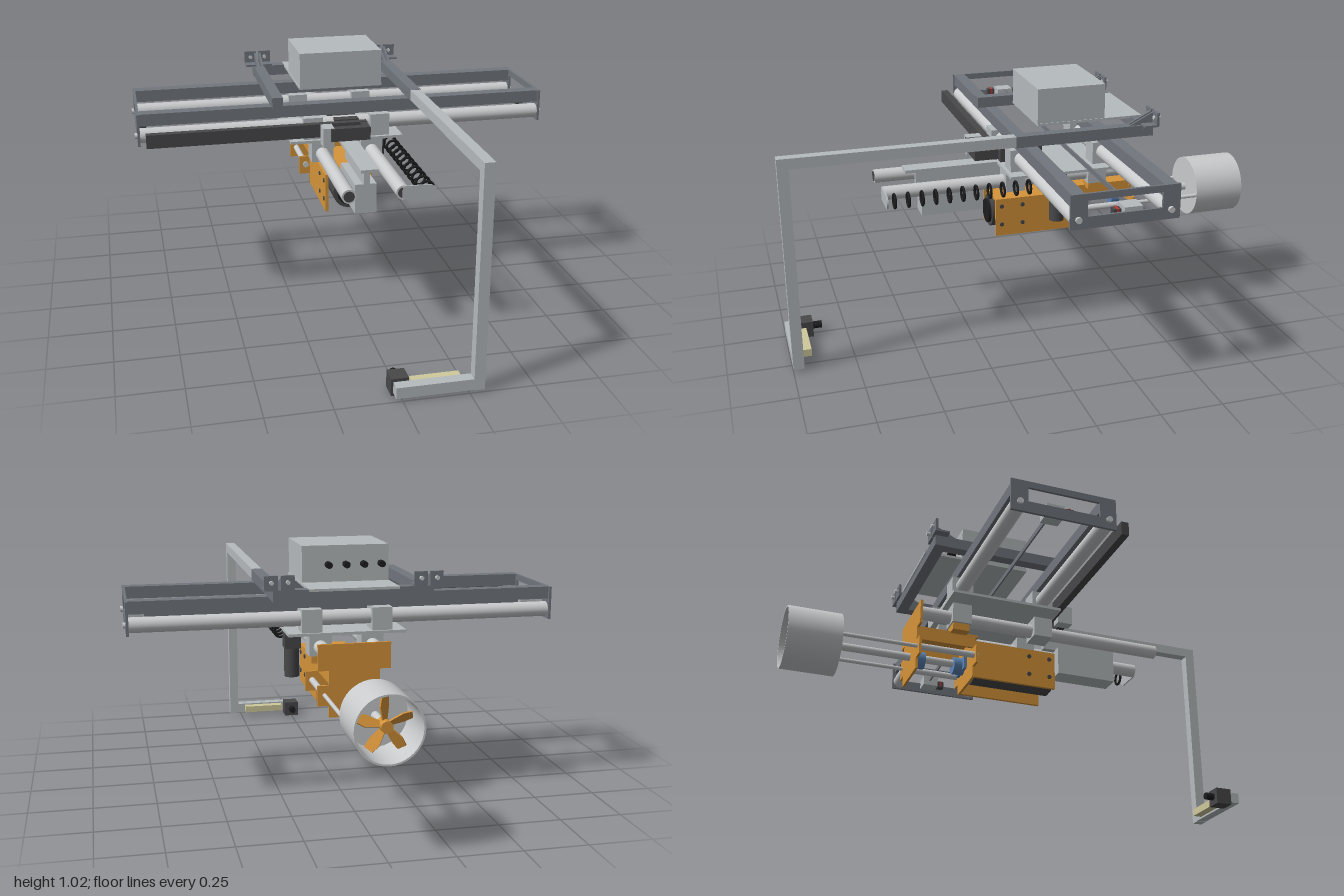
import * as THREE from 'three';

const mat = (name, color, opts = {}) => Object.assign(new THREE.MeshStandardMaterial({ color, ...opts }), { name });

export function createModel() {
  const model = new THREE.Group();
  const panel = mat('light grey panel', 0xb6bbbd);
  const steel = mat('pale steel', 0xc9cbcd, { side: THREE.DoubleSide });
  const rail = mat('slate grey rail', 0x72777e);
  const dark = mat('charcoal', 0x48484a);
  const black = mat('black rubber', 0x1d1d1f);
  const orange = mat('orange bracket', 0xd6943a);
  const blue = mat('blue bearing', 0x5d86b8);
  const cream = mat('cream strip', 0xcfc99c);
  const red = mat('red switch', 0xb83a34);

  const add = (name, geo, m, x = 0, y = 0, z = 0) => {
    const mesh = new THREE.Mesh(geo, m);
    mesh.name = name;
    mesh.position.set(x, y, z);
    model.add(mesh);
    return mesh;
  };
  // box from its minimum and maximum on each axis
  const box = (name, m, x0, x1, y0, y1, z0, z1) =>
    add(name, new THREE.BoxGeometry(x1 - x0, y1 - y0, z1 - z0), m, (x0 + x1) / 2, (y0 + y1) / 2, (z0 + z1) / 2);
  // rods along z, x or y
  const rodZ = (name, m, r, x, y, z0, z1, n = 24) =>
    add(name, new THREE.CylinderGeometry(r, r, z1 - z0, n).rotateX(Math.PI / 2), m, x, y, (z0 + z1) / 2);
  const rodX = (name, m, r, x0, x1, y, z, n = 24) =>
    add(name, new THREE.CylinderGeometry(r, r, x1 - x0, n).rotateZ(Math.PI / 2), m, (x0 + x1) / 2, y, z);
  const rodY = (name, m, r, x, y0, y1, z, n = 24) =>
    add(name, new THREE.CylinderGeometry(r, r, y1 - y0, n), m, x, (y0 + y1) / 2, z);
  const poly = pts => new THREE.Shape(pts.map(p => new THREE.Vector2(...p)));
  const slab = (shape, depth) => new THREE.ExtrudeGeometry(shape, { depth, bevelEnabled: false, curveSegments: 16 });
  const sides = [-1, 1];

  // Gantry: two rails with guide rods beneath them
  for (const z of [0.03, -0.32]) {
    box('gantryRail', rail, -0.84, 0.84, 0.787, 0.836, z - 0.025, z + 0.025);
    rodX('guideRod', steel, 0.03, -0.84, 0.84, 0.742, z);
    for (const s of sides) {
      box('rodCarriage', panel, s * 0.14 - 0.04, s * 0.14 + 0.04, 0.69, 0.782, z - 0.045, z + 0.045);
      rodX('rodEndBolt', steel, 0.012, s * 0.85 - 0.006, s * 0.85 + 0.006, 0.742, z, 12);
    }
  }
  // Window-framed end plates
  const endShape = poly([[-0.06, 0.705], [0.355, 0.705], [0.355, 0.836], [-0.06, 0.836]]);
  endShape.holes.push(new THREE.Path([[0.005, 0.75], [0.005, 0.81], [0.288, 0.81], [0.288, 0.75]]
    .map(p => new THREE.Vector2(...p))));
  for (const s of sides) {
    add('endPlate', slab(endShape, 0.01).rotateY(Math.PI / 2), rail, s * 0.841 - 0.005, 0, 0);
    box('beltPulleyBlock', panel, s * 0.805 - 0.034, s * 0.805 + 0.034, 0.72, 0.765, -0.215, -0.145);
    box('limitSwitch', dark, s * 0.82 - 0.015, s * 0.82 + 0.015, 0.73, 0.76, -0.135, -0.105);
    box('limitSwitchTip', red, s * 0.82 - 0.016, s * 0.82 + 0.016, 0.735, 0.762, -0.126, -0.117);
  }
  box('driveBelt', rail, -0.8, 0.8, 0.74, 0.76, -0.188, -0.182);

  // Cross bars and rear mounting brackets
  box('rearCrossBar', rail, -0.31, 0.31, 0.836, 0.88, -0.48, -0.435);
  for (const s of sides) {
    const x = s * 0.287;
    box('crossBar', rail, x - 0.022, x + 0.022, 0.836, 0.881, -0.48, 0.09);
    for (const t of sides) {
      const bx = x + t * 0.031;
      box('rearBracket', rail, bx - 0.026, bx + 0.026, 0.88, 0.937, -0.49, -0.48);
      box('bracketFoot', rail, bx - 0.026, bx + 0.026, 0.88, 0.888, -0.48, -0.43);
      rodZ('bracketBolt', steel, 0.008, bx, 0.912, -0.503, -0.474, 12);
      add('bracketGusset', slab(poly([[0.38, 0.88], [0.48, 0.88], [0.48, 0.93]]), 0.008).rotateY(Math.PI / 2),
        rail, x + t * 0.01 - 0.004, 0, 0);
    }
  }

  // Control box on its tray, with rear connectors
  box('tray', panel, -0.175, 0.175, 0.872, 0.882, -0.485, -0.04);
  box('controlBox', panel, -0.172, 0.172, 0.882, 1.024, -0.325, -0.04);
  for (let i = 0; i < 4; i++) rodZ('connector', black, 0.013, -0.14 + i * 0.07, 0.95, -0.358, -0.325, 12);

  // Camera arm reaching forward, down and sideways
  box('armBeam', panel, 0.265, 0.306, 0.838, 0.88, 0.09, 1);
  box('armPost', panel, 0.265, 0.306, 0.01, 0.838, 0.957, 1);
  box('armFoot', panel, -0.025, 0.265, 0.012, 0.056, 0.957, 1);
  box('lightStrip', cream, 0.045, 0.23, 0.02, 0.05, 0.918, 0.957);
  box('cameraBody', dark, -0.033, 0.033, 0, 0.068, 0.888, 0.957);
  rodZ('cameraLens', black, 0.015, 0, 0.036, 0.85, 0.888, 16);

  // Cable chain along the front rail
  box('cableChain', dark, -0.815, 0.075, 0.715, 0.77, 0.095, 0.125);
  box('chainReturn', dark, -0.09, 0.072, 0.715, 0.768, 0.16, 0.195);
  box('chainBend', dark, 0.045, 0.072, 0.715, 0.768, 0.125, 0.16);
  box('chainBracket', panel, -0.12, -0.075, 0.69, 0.77, 0.125, 0.19);

  // Carriage plate, gantry motor and sliding tubes
  box('carriagePlate', panel, -0.235, 0.235, 0.68, 0.691, -0.375, 0.09);
  box('carriageMotor', dark, -0.05, 0.05, 0.691, 0.77, -0.1, 0.08);
  for (const s of sides) {
    rodZ('slideTube', steel, 0.028, s * 0.104, 0.63, -0.48, 0.583);
    rodZ('tubeBore', dark, 0.021, s * 0.104, 0.63, 0.58, 0.586);
    for (const z of [0.045, -0.31]) {
      box('tubeBearing', panel, s * 0.104 - 0.045, s * 0.104 + 0.045, 0.595, 0.68, z - 0.04, z + 0.04);
      if (z < 0) box('tubeClamp', orange, s * 0.104 - 0.035, s * 0.104 + 0.035, 0.565, 0.595, z - 0.035, z + 0.035);
    }
  }
  box('slideRail', panel, -0.035, 0.035, 0.677, 0.69, 0.09, 0.476);
  box('slideHousing', panel, -0.043, 0.043, 0.49, 0.61, 0.155, 0.415);
  box('slideWeb', panel, -0.012, 0.012, 0.61, 0.677, 0.1, 0.43);

  // Coiled cable and the tab that holds its front end
  for (let i = 0; i < 11; i++)
    add('cableCoil', new THREE.TorusGeometry(0.027, 0.0055, 8, 20), black, 0.202, 0.63, 0.005 + i * 0.055);
  const tab = new THREE.Shape();
  tab.moveTo(0.1, 0.603);
  tab.lineTo(0.203, 0.603);
  tab.absarc(0.203, 0.63, 0.027, -Math.PI / 2, Math.PI / 2, false);
  tab.lineTo(0.1, 0.657);
  add('coilTab', slab(tab, 0.006), panel, 0, 0, 0.583);

  // Hanging side motor
  box('sideMotorGearbox', dark, 0.145, 0.21, 0.585, 0.68, -0.155, -0.09);
  rodY('sideMotor', dark, 0.031, 0.178, 0.465, 0.585, -0.122);

  // Thruster bracket: side plates, notched cross plates and tie plate
  const tabbed = [[-0.1, 0.383], [0.1, 0.383], [0.1, 0.43], [0.145, 0.43], [0.145, 0.51], [0.1, 0.51], [0.1, 0.57],
    [-0.1, 0.57], [-0.1, 0.51], [-0.145, 0.51], [-0.145, 0.43], [-0.1, 0.43]];
  for (const z of [-0.247, -0.485]) add('crossPlate', slab(poly(tabbed), 0.01), orange, 0, 0, z);
  box('tubeEndPlate', orange, -0.143, 0.143, 0.567, 0.67, -0.485, -0.475);
  box('tiePlate', orange, -0.1, 0.1, 0.562, 0.572, -0.475, -0.225);
  for (const s of sides) {
    box('sidePlate', orange, s * 0.093 - 0.006, s * 0.093 + 0.006, 0.385, 0.547, -0.24, 0.115);
    box('tieFlange', orange, s * 0.094 - 0.005, s * 0.094 + 0.005, 0.515, 0.565, -0.475, -0.24);
    for (const z of [0.09, 0]) for (const y of [0.435, 0.515])
      rodX('plateBolt', dark, 0.009, s * 0.1 - 0.003, s * 0.1 + 0.003, y, z, 12);
    rodZ('ductRod', steel, 0.013, s * 0.117, 0.473, -0.48, -0.23, 16);
    rodZ('ductRodRear', steel, 0.008, s * 0.117, 0.473, -0.8, -0.48, 16);
  }
  box('motorSeat', orange, -0.09, 0.09, 0.537, 0.547, -0.24, 0.115);

  // Drive motor, shaft and bearings
  rodZ('driveMotor', dark, 0.066, 0, 0.465, -0.22, 0.12, 32);
  rodZ('motorCap', black, 0.05, 0, 0.465, 0.12, 0.132, 32);
  rodZ('driveShaft', steel, 0.016, 0, 0.475, -0.93, -0.22);
  for (const [z0, z1] of [[-0.303, -0.257], [-0.475, -0.425]]) {
    rodZ('shaftBearing', blue, 0.036, 0, 0.467, z0, z1);
    box('bearingFlange', blue, -0.055, 0.055, 0.44, 0.494, z0 < -0.4 ? z0 : z1 - 0.012, z0 < -0.4 ? z0 + 0.012 : z1);
  }

  // Duct, closed at the front and open at the rear
  const duct = [[0, -0.8], [0, -0.785], [0.127, -0.785], [0.127, -1], [0.12, -1], [0.12, -0.8], [0, -0.8]];
  const flat = duct.slice(1).map((p, i) => new THREE.LatheGeometry(
    [duct[i], p].map(q => new THREE.Vector2(q[0], q[1])), 40).rotateX(Math.PI / 2));
  flat.forEach(g => add('duct', g, steel, 0, 0.478, 0));

  // Propeller
  rodZ('propellerHub', orange, 0.022, 0, 0.478, -0.965, -0.9, 20);
  const blade = poly([[-0.011, 0.015], [0.011, 0.015], [0.025, 0.07], [0.018, 0.103], [-0.018, 0.103], [-0.02, 0.07]]);
  for (let i = 0; i < 5; i++) {
    const g = slab(blade, 0.006).rotateY(0.6).rotateZ(i * Math.PI * 0.4);
    add('propellerBlade', g, orange, 0, 0.478, -0.935);
  }
  return model;
}
